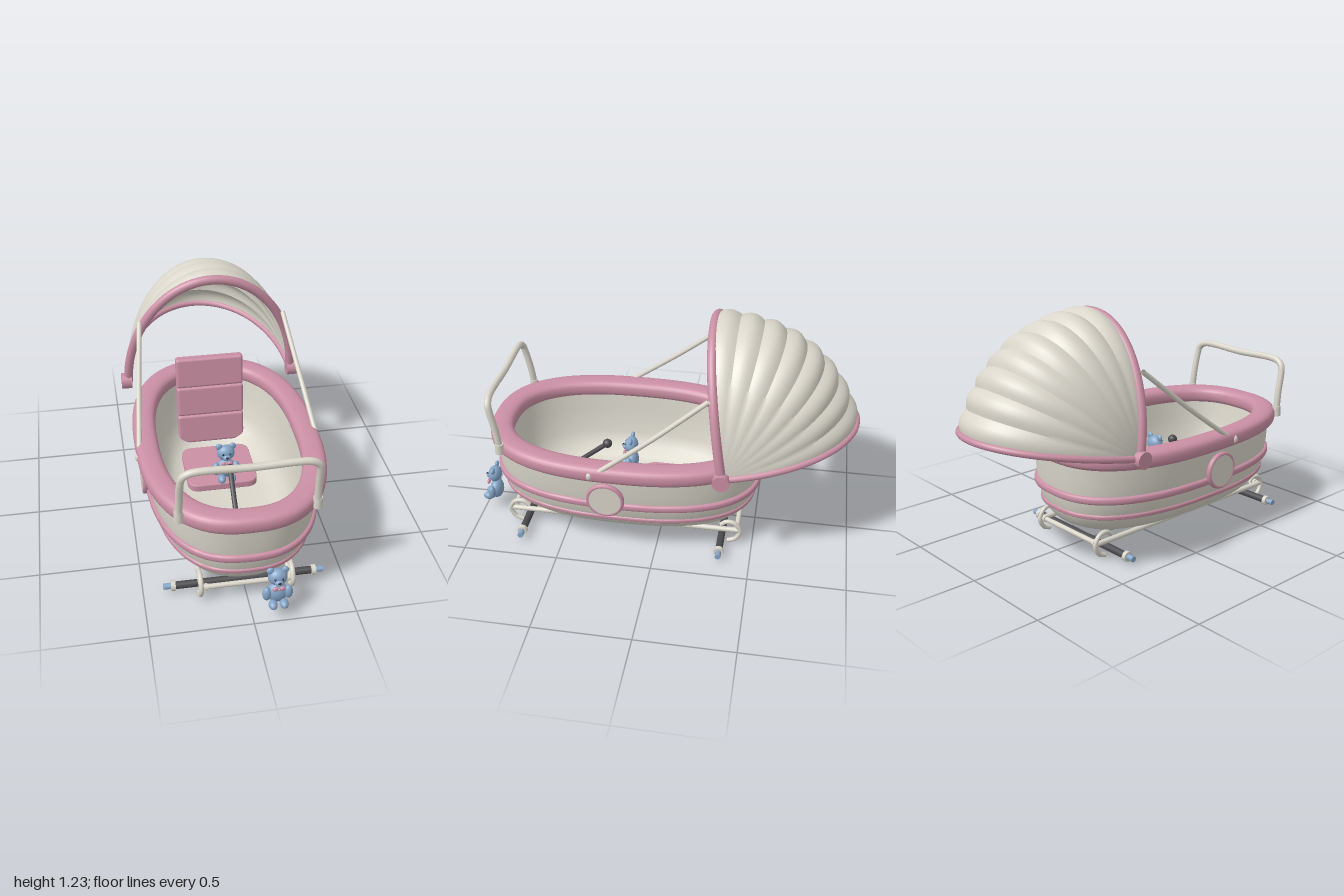
import * as THREE from 'three';
import { toCreasedNormals } from 'three/addons/utils/BufferGeometryUtils.js';
import { RoundedBoxGeometry } from 'three/addons/geometries/RoundedBoxGeometry.js';

const material = (name, color) => {
  const m = new THREE.MeshStandardMaterial({ color, side: THREE.DoubleSide });
  m.name = name;
  return m;
};
const V = (x, y, z) => new THREE.Vector3(x, y, z);
const MID = 0.193; // centre of the basket along z

// Surface from rows of points given by f(i, j); either direction can wrap.
function grid(nu, nv, wrapU, wrapV, f) {
  const pos = [], idx = [];
  const rows = wrapU ? nu : nu + 1, cols = wrapV ? nv : nv + 1;
  for (let i = 0; i < rows; i++) for (let j = 0; j < cols; j++) pos.push(...f(i, j));
  for (let i = 0; i < nu; i++) for (let j = 0; j < nv; j++) {
    const i2 = (i + 1) % rows, j2 = (j + 1) % cols;
    const a = i * cols + j, b = i2 * cols + j, c = i2 * cols + j2, d = i * cols + j2;
    idx.push(a, b, d, b, c, d);
  }
  const g = new THREE.BufferGeometry();
  g.setAttribute('position', new THREE.Float32BufferAttribute(pos, 3));
  g.setIndex(idx);
  return toCreasedNormals(g, 0.6);
}

// Loft of superellipse rings; each profile entry is [halfWidth, halfLength, y].
function ovalLoft(profile, closed) {
  const bend = (v) => Math.sign(v) * Math.pow(Math.abs(v), 0.8);
  const n = 72;
  return grid(closed ? profile.length : profile.length - 1, n, closed, true, (i, j) => {
    const t = (j / n) * Math.PI * 2, [w, l, y] = profile[i];
    return [w * bend(Math.cos(t)), y, MID + l * bend(Math.sin(t))];
  });
}

// Closed rounded section swept round the basket.
function ovalBand(w, l, y, rx, ry, n = 16) {
  const profile = [];
  for (let i = 0; i < n; i++) {
    const a = (i / n) * Math.PI * 2, p = (v) => Math.sign(v) * Math.pow(Math.abs(v), 0.7);
    const dx = rx * p(Math.cos(a));
    profile.push([w + dx, l + dx, y + ry * p(Math.sin(a))]);
  }
  return ovalLoft(profile, true);
}

const tube = (pts, r, seg = 40) =>
  new THREE.TubeGeometry(new THREE.CatmullRomCurve3(pts, false, 'centripetal'), seg, r, 12);

export function createModel() {
  const root = new THREE.Group();
  root.name = 'babyCarriage';
  const cream = material('cream', 0xd9d5ca);
  const pink = material('pink', 0xca8fa4);
  const blue = material('blue', 0x86a6c8);
  const dark = material('darkGrey', 0x4b4a4e);
  const black = material('black', 0x26262a);

  const add = (name, geo, mat, x = 0, y = 0, z = 0, parent = root) => {
    const m = new THREE.Mesh(geo, mat);
    m.name = name;
    m.position.set(x, y, z);
    parent.add(m);
    return m;
  };
  const rod = (name, r, len, mat, x, y, z, axis = 'x') => {
    const g = new THREE.CylinderGeometry(r, r, len, 20);
    if (axis === 'x') g.rotateZ(Math.PI / 2); else g.rotateX(Math.PI / 2);
    return add(name, g, mat, x, y, z);
  };

  // Basket: outside up, over the edge and down to the inner floor
  add('basket', ovalLoft([
    [0, 0, 0.11], [0.26, 0.55, 0.11], [0.295, 0.585, 0.12], [0.335, 0.63, 0.145], [0.365, 0.655, 0.175],
    [0.392, 0.678, 0.225], [0.412, 0.694, 0.3], [0.425, 0.705, 0.4], [0.43, 0.71, 0.53],
    [0.37, 0.645, 0.53], [0.355, 0.625, 0.4], [0.335, 0.595, 0.27], [0.305, 0.56, 0.2],
    [0.26, 0.51, 0.155], [0.2, 0.44, 0.14], [0, 0, 0.14],
  ], false), cream);
  add('paddedRim', ovalBand(0.411, 0.678, 0.531, 0.06, 0.046, 24), pink);
  add('upperBand', ovalBand(0.416, 0.699, 0.325, 0.017, 0.02), pink);
  add('lowerBand', ovalBand(0.39, 0.676, 0.227, 0.011, 0.013), pink);

  // Seat cushion and three-part backrest
  const s = new THREE.Shape(), w = 0.185, h = 0.172, r = 0.06;
  s.moveTo(-w + r, -h);
  [[w, -h, w, -h + r, w - r, -h], [w, h, w - r, h, w, h - r], [-w, h, -w, h - r, -w + r, h], [-w, -h, -w + r, -h, -w, -h + r]]
    .forEach(([cx, cy, ex, ey, sx, sy]) => { s.lineTo(sx, sy); s.quadraticCurveTo(cx, cy, ex, ey); });
  const cushion = new THREE.ExtrudeGeometry(s, { depth: 0.025, bevelSize: 0.005, bevelThickness: 0.008, bevelSegments: 3 });
  add('seatCushion', cushion.rotateX(-Math.PI / 2), pink, 0, 0.145, -0.037);
  const back = new THREE.Group();
  back.name = 'backrest';
  back.position.set(0, 0.155, -0.315);
  back.rotation.x = -0.125;
  root.add(back);
  for (let i = 0; i < 3; i++)
    add('backrestPad', new RoundedBoxGeometry(0.376, 0.174, 0.06, 3, 0.015), pink, 0, 0.087 + i * 0.174, 0, back);

  // Lever inside the basket
  add('lever', tube([V(0, 0.41, 0.32), V(0, 0.275, 0.485), V(0, 0.14, 0.65)], 0.013, 8), dark);
  add('leverKnob', new THREE.SphereGeometry(0.025, 16, 12), dark, 0, 0.41, 0.32);

  // Canopy: fan of half ellipses between the two hoops
  const PY = 0.58, PZ = -0.345, A0 = 1.41, A1 = 2.955, HW = 0.452;
  const arc = (a, rad, t, hw = HW) =>
    V(hw * Math.cos(t), PY + Math.sin(a) * rad * Math.sin(t), PZ + Math.cos(a) * rad * Math.sin(t));
  const lobes = 8, per = 6;
  add('canopy', grid(lobes * per, 48, false, false, (i, j) => {
    const u = i / (lobes * per);
    const puff = 0.022 * Math.abs(Math.sin(u * lobes * Math.PI));
    const rad = 0.618 + 0.022 * Math.pow(Math.abs(2 * u - 1), 3) + puff;
    return arc(A0 + (A1 - A0) * u, rad, (j / 48) * Math.PI).toArray();
  }), cream);
  const hoop = (a, rad) => Array.from({ length: 33 }, (_, i) => arc(a, rad, (i / 32) * Math.PI));
  add('frontHoop', tube(hoop(A0, 0.63), 0.024, 72), pink);
  add('rearHoop', tube(hoop(A1, 0.645), 0.017, 72), pink);

  for (const side of [1, -1]) {
    // Canopy hinges and struts
    rod('canopyHinge', 0.043, 0.055, pink, side * 0.463, PY, PZ);
    add('canopyStrut', tube([V(side * 0.383, 0.975, -0.265), V(side * 0.42, 0.755, 0), V(side * 0.452, 0.55, 0.27)], 0.013, 8), cream);
    add('strutKnob', new THREE.SphereGeometry(0.016, 14, 10), cream, side * 0.462, 0.53, 0.31).scale.y = 1.4;

    // Side medallions
    rod('medallion', 0.084, 0.034, cream, side * 0.43, 0.37, 0.24);
    const ring = new THREE.TorusGeometry(0.088, 0.011, 10, 40).rotateY(Math.PI / 2);
    add('medallionRing', ring, pink, side * 0.435, 0.37, 0.24).scale.x = 1.3;

    // Handle sockets and long chassis rails
    add('handleSocket', new THREE.CylinderGeometry(0.022, 0.024, 0.055, 16), cream, side * 0.325, 0.548, 0.81);
    rod('chassisRail', 0.014, 1.24, cream, side * 0.222, 0.085, MID, 'z');
  }

  // Handle
  add('handle', tube([
    V(-0.325, 0.53, 0.808), V(-0.322, 0.65, 0.822), V(-0.318, 0.76, 0.845), V(-0.31, 0.795, 0.852), V(-0.275, 0.82, 0.857),
    V(0, 0.82, 0.857), V(0.275, 0.82, 0.857), V(0.31, 0.795, 0.852), V(0.318, 0.76, 0.845), V(0.322, 0.65, 0.822), V(0.325, 0.53, 0.808),
  ], 0.018, 90), cream);

  // Chassis ends: curled springs, cross bars and axles
  const curl = [[0.525, 0.115], [0.555, 0.137], [0.6, 0.13], [0.628, 0.08], [0.605, 0.032], [0.565, 0.013]];
  for (const end of [1, -1]) {
    const barZ = MID + end * 0.61, axleZ = MID + end * 0.53;
    rod('crossBar', 0.013, 0.43, cream, 0, 0.085, barZ);
    rod('axle', 0.019, 0.68, dark, 0, 0.04, axleZ);
    for (const side of [1, -1]) {
      add('curledSpring', tube(curl.map(([z, y]) => V(side * 0.226, y, MID + end * z)), 0.012), cream);
      rod('crossBarCollar', 0.018, 0.014, cream, side * 0.2, 0.085, barZ);
      rod('axleCollar', 0.026, 0.022, cream, side * 0.352, 0.04, axleZ);
      rod('axleCap', 0.015, 0.037, blue, side * 0.382, 0.04, axleZ);
    }
  }

  // Toy bears, built from stretched spheres around the seat point
  function bear(x, y, z) {
    const g = new THREE.Group();
    g.name = 'toyBear';
    g.position.set(x, y, z);
    root.add(g);
    const ball = (name, mat, px, py, pz, sx, sy = sx, sz = sx) =>
      add(name, new THREE.SphereGeometry(1, 20, 14), mat, px, py, pz, g).scale.set(sx, sy, sz);
    ball('bearBody', blue, 0, 0.06, 0, 0.052, 0.055, 0.036);
    ball('bearHead', blue, 0, 0.158, 0.002, 0.047, 0.044, 0.036);
    ball('bearMuzzle', blue, 0, 0.146, 0.034, 0.021, 0.017, 0.016);
    ball('bearNose', black, 0, 0.153, 0.047, 0.008, 0.006, 0.005);
    for (const k of [1, -1]) {
      ball('bearEar', blue, k * 0.036, 0.196, 0, 0.018, 0.018, 0.011);
      ball('bearEye', black, k * 0.018, 0.167, 0.034, 0.005);
      ball('bearArm', blue, k * 0.052, 0.065, 0.012, 0.022, 0.038, 0.02);
      ball('bearFoot', blue, k * 0.027, 0.02, 0.042, 0.021, 0.021, 0.03);
      ball('bowLoop', pink, k * 0.017, 0.112, 0.037, 0.015, 0.012, 0.009);
    }
    ball('bowKnot', pink, 0, 0.112, 0.041, 0.007);
  }
  bear(0.12, 0.065, 0.93);
  bear(0, 0.26, 0.185);

  return root;
}
